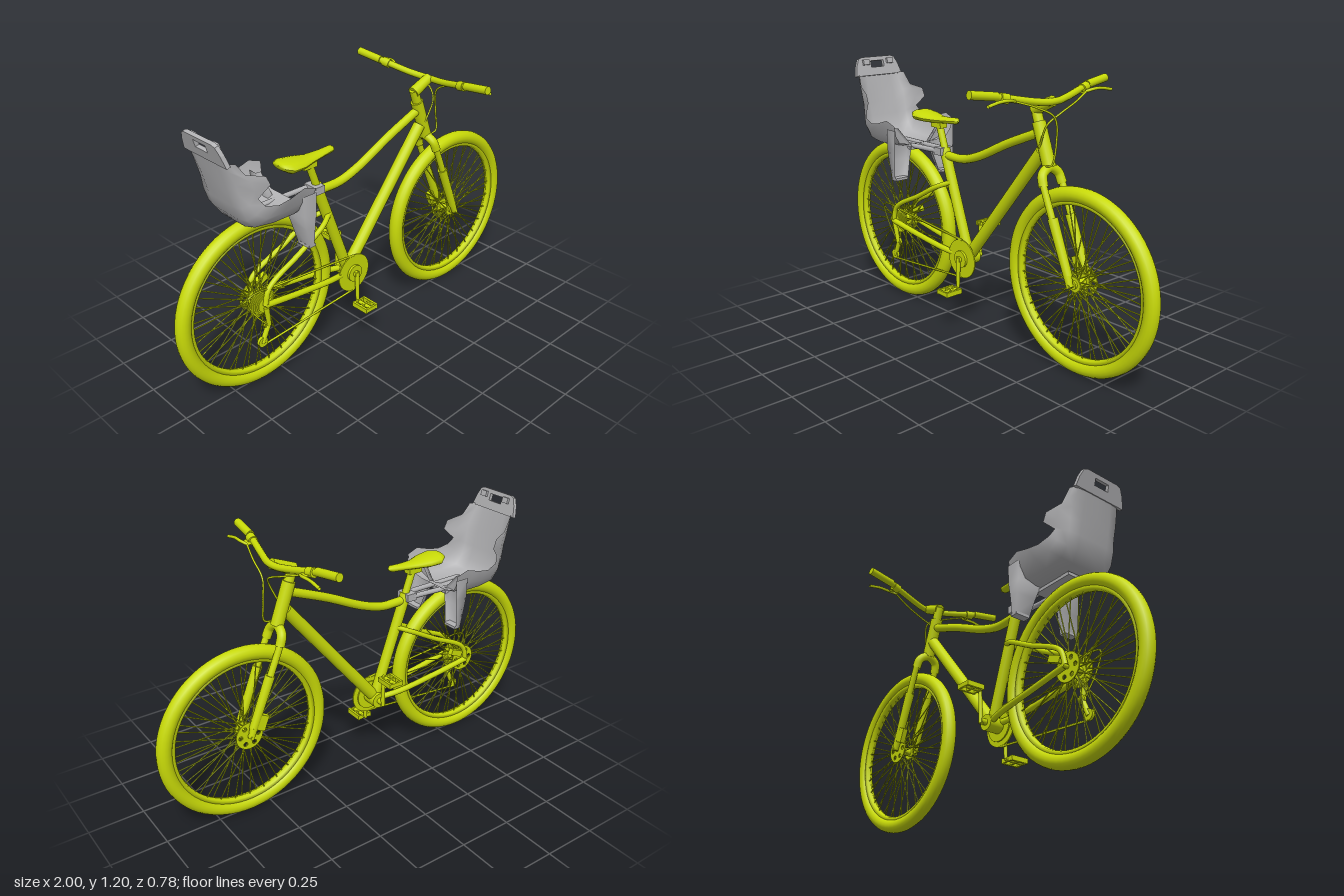
import * as THREE from 'three';

const paint = new THREE.MeshStandardMaterial({ color: 0xc8da08, side: THREE.DoubleSide });
paint.name = 'lime paint';
const plastic = new THREE.MeshStandardMaterial({ color: 0xb2b2b4, side: THREE.DoubleSide });
plastic.name = 'grey plastic';

const V = (p) => new THREE.Vector3(...p);

function add(parent, name, geometry, material = paint) {
  const mesh = new THREE.Mesh(geometry, material);
  mesh.name = name;
  parent.add(mesh);
  return mesh;
}

// straight rod between two points, optionally tapered
function rod(parent, name, a, b, r0, r1 = r0, sides = 16, material = paint) {
  const A = V(a), B = V(b), d = B.clone().sub(A);
  const mesh = add(parent, name, new THREE.CylinderGeometry(r1, r0, d.length(), sides), material);
  mesh.position.copy(A).add(B).multiplyScalar(0.5);
  mesh.quaternion.setFromUnitVectors(new THREE.Vector3(0, 1, 0), d.normalize());
  return mesh;
}

// bent tube through points
function bend(parent, name, points, r, segments = 32, sides = 12, material = paint) {
  const curve = new THREE.CatmullRomCurve3(points.map(V));
  return add(parent, name, new THREE.TubeGeometry(curve, segments, r, sides), material);
}

// disc or drum whose axis runs along z
function drum(parent, name, [x, y, z], r, depth, sides = 32) {
  return rod(parent, name, [x, y, z - depth / 2], [x, y, z + depth / 2], r, r, sides);
}

function block(parent, name, size, position, material = paint, tilt = 0) {
  const mesh = add(parent, name, new THREE.BoxGeometry(...size), material);
  mesh.position.set(...position);
  mesh.rotation.z = tilt;
  return mesh;
}

// skin stretched over rows of points
function loft(parent, name, rows, material = paint) {
  const n = rows[0].length, index = [];
  for (let i = 0; i < rows.length - 1; i++)
    for (let j = 0; j < n - 1; j++) {
      const a = i * n + j, b = a + n;
      index.push(a, b, a + 1, a + 1, b, b + 1);
    }
  const g = new THREE.BufferGeometry();
  g.setAttribute('position', new THREE.Float32BufferAttribute(rows.flat(2), 3));
  g.setIndex(index);
  g.computeVertexNormals();
  return add(parent, name, g, material);
}

function wheel(parent, name, x) {
  const g = new THREE.Group();
  g.name = name;
  g.position.set(x, 0.4, 0);
  parent.add(g);
  add(g, 'tyre', new THREE.TorusGeometry(0.367, 0.033, 16, 72));
  const rim = [[0.322, 0], [0.326, 0.016], [0.345, 0.02], [0.345, -0.02], [0.326, -0.016], [0.322, 0]];
  const rimGeo = new THREE.LatheGeometry(rim.map((p) => new THREE.Vector2(...p)), 72);
  add(g, 'rim', rimGeo.rotateX(Math.PI / 2));
  drum(g, 'hub', [0, 0, 0], 0.018, 0.08);
  drum(g, 'axle', [0, 0, 0], 0.009, 0.14, 12);
  for (const s of [-1, 1]) drum(g, 'hubFlange', [0, 0, s * 0.028], 0.032, 0.005);
  const count = 56;
  for (let i = 0; i < count; i++) {
    const t = (i / count) * Math.PI * 2, side = i % 2 ? 1 : -1;
    const u = t + (i % 4 < 2 ? 0.5 : -0.5);
    rod(g, 'spoke', [0.03 * Math.cos(u), 0.03 * Math.sin(u), side * 0.028],
      [0.327 * Math.cos(t), 0.327 * Math.sin(t), side * 0.004], 0.0028, 0.0028, 5);
  }
  // brake rotor with round openings
  const disc = new THREE.Shape().absarc(0, 0, 0.064, 0, Math.PI * 2);
  for (let i = 0; i < 6; i++) {
    const a = (i * Math.PI) / 3;
    disc.holes.push(new THREE.Path().absarc(0.042 * Math.cos(a), 0.042 * Math.sin(a), 0.01, 0, Math.PI * 2));
  }
  const rotor = new THREE.ExtrudeGeometry(disc, { depth: 0.005, bevelEnabled: false, curveSegments: 24 });
  add(g, 'brakeRotor', rotor).position.z = -0.042;
}

function buildFrame(g) {
  rod(g, 'seatTube', [-0.09, 0.34, 0], [-0.262, 0.82, 0], 0.025);
  rod(g, 'seatPost', [-0.25, 0.79, 0], [-0.302, 0.94, 0], 0.017);
  bend(g, 'topTube', [[-0.25, 0.79, 0], [-0.13, 0.79, 0], [-0.02, 0.822, 0], [0.17, 0.91, 0], [0.355, 0.985, 0]], 0.02);
  rod(g, 'downTube', [-0.08, 0.345, 0], [0.375, 0.91, 0], 0.028);
  rod(g, 'headTube', [0.418, 0.85, 0], [0.352, 1.03, 0], 0.029);
  rod(g, 'steerer', [0.36, 1.01, 0], [0.331, 1.09, 0], 0.022);
  drum(g, 'bottomBracket', [-0.088, 0.33, 0], 0.036, 0.08);
  for (const s of [-1, 1]) {
    bend(g, 'chainStay', [[-0.1, 0.335, s * 0.02], [-0.2, 0.345, s * 0.042], [-0.4, 0.37, s * 0.052], [-0.6, 0.4, s * 0.058]], 0.014);
    bend(g, 'seatStay', [[-0.205, 0.668, s * 0.015], [-0.27, 0.64, s * 0.045], [-0.4, 0.57, s * 0.052], [-0.58, 0.475, s * 0.058], [-0.605, 0.4, s * 0.058]], 0.012);
  }
  // saddle from oval cross-sections: x, half width, top, bottom
  const sections = [
    [-0.455, 0.004, 0.97, 0.966], [-0.45, 0.045, 0.98, 0.95], [-0.42, 0.065, 0.985, 0.93], [-0.36, 0.06, 0.977, 0.93],
    [-0.3, 0.038, 0.968, 0.934], [-0.23, 0.026, 0.969, 0.94], [-0.175, 0.02, 0.974, 0.944], [-0.158, 0.003, 0.962, 0.956]];
  loft(g, 'saddle', sections.map(([x, w, top, low]) => Array.from({ length: 17 }, (_, i) => {
    const a = (i / 16) * Math.PI * 2;
    return [x, (top + low) / 2 + ((top - low) / 2) * Math.sin(a), w * Math.cos(a)];
  })));
  block(g, 'saddleClamp', [0.07, 0.025, 0.04], [-0.302, 0.926, 0]);
}

function buildFork(g) {
  bend(g, 'forkCrown', [[0.44, 0.78, 0.055], [0.424, 0.825, 0.045], [0.416, 0.848, 0], [0.424, 0.825, -0.045], [0.44, 0.78, -0.055]], 0.021);
  for (const s of [-1, 1]) {
    rod(g, 'forkUpperLeg', [0.5, 0.64, s * 0.055], [0.436, 0.793, s * 0.055], 0.015);
    rod(g, 'forkLowerLeg', [0.585, 0.436, s * 0.052], [0.492, 0.66, s * 0.052], 0.019, 0.022);
    rod(g, 'forkDropout', [0.6, 0.395, s * 0.056], [0.584, 0.44, s * 0.054], 0.014, 0.018);
  }
  block(g, 'frontCaliper', [0.04, 0.07, 0.025], [0.545, 0.455, -0.055], paint, 0.4);
  block(g, 'rearCaliper', [0.07, 0.03, 0.025], [-0.545, 0.45, -0.05], paint, 0.4);
}

function buildSteering(g) {
  rod(g, 'stem', [0.328, 1.078, 0], [0.43, 1.124, 0], 0.027, 0.023);
  const half = [[0.366, 1.177, 0.38], [0.376, 1.162, 0.275], [0.392, 1.148, 0.2], [0.412, 1.131, 0.11], [0.428, 1.122, 0.04]];
  const flip = half.map(([x, y, z]) => [x, y, -z]);
  bend(g, 'handlebar', [...half, [0.432, 1.121, 0], ...flip.reverse()], 0.015, 48);
  for (const s of [-1, 1]) {
    rod(g, 'grip', [0.366, 1.177, s * 0.385], [0.378, 1.16, s * 0.255], 0.018);
    rod(g, 'brakeClamp', [0.385, 1.155, s * 0.245], [0.391, 1.148, s * 0.21], 0.021);
    loft(g, 'leverBody', [[[0.385, 1.152, s * 0.25], [0.39, 1.146, s * 0.18]], [[0.436, 1.145, s * 0.24], [0.43, 1.14, s * 0.2]]]);
    bend(g, 'brakeLever', [[0.42, 1.14, s * 0.2], [0.436, 1.15, s * 0.24], [0.432, 1.148, s * 0.29], [0.432, 1.137, s * 0.35]], 0.007, 20, 8);
  }
  // cables
  bend(g, 'frontCable', [[0.425, 1.14, 0.2], [0.45, 1.11, 0.11], [0.462, 1.06, 0.02], [0.468, 0.96, 0.015], [0.46, 0.87, 0.03], [0.43, 0.86, 0.03]], 0.0045, 40, 6);
  bend(g, 'rearCable', [[0.425, 1.14, -0.2], [0.45, 1.11, -0.11], [0.455, 1.075, -0.02], [0.43, 1.03, 0.03], [0.385, 0.93, 0.028]], 0.0045, 40, 6);
}

function buildDrivetrain(g) {
  const cx = -0.088, cy = 0.33;
  drum(g, 'chainring', [cx, cy, 0.044], 0.092, 0.006, 40);
  drum(g, 'innerChainring', [cx, cy, 0.034], 0.07, 0.006, 40);
  drum(g, 'chainringSpider', [cx, cy, 0.052], 0.04, 0.012);
  drum(g, 'crankAxle', [cx, cy, 0], 0.014, 0.14);
  // cranks and open cage pedals
  for (const s of [-1, 1]) {
    const py = cy - s * 0.142;
    rod(g, 'crank', [cx, cy + s * 0.012, s * 0.066], [cx, py, s * 0.07], 0.011, 0.008);
    rod(g, 'pedalSpindle', [cx, py, s * 0.066], [cx, py, s * 0.16], 0.009);
    for (const z of [0.08, 0.12, 0.16]) block(g, 'pedalEnd', [0.06, 0.02, 0.009], [cx, py, s * z]);
    for (const x of [-0.031, 0.031]) block(g, 'pedalBar', [0.011, 0.023, 0.09], [cx + x, py, s * 0.12]);
  }
  for (let i = 0; i < 6; i++) drum(g, 'sprocket', [-0.6, 0.4, 0.03 + i * 0.0045], 0.066 - i * 0.006, 0.003);
  // derailleur and chain
  rod(g, 'derailleurHanger', [-0.6, 0.39, 0.056], [-0.585, 0.29, 0.05], 0.013, 0.01);
  rod(g, 'derailleurCage', [-0.585, 0.29, 0.044], [-0.62, 0.21, 0.042], 0.012);
  drum(g, 'upperPulley', [-0.587, 0.29, 0.042], 0.018, 0.012, 16);
  drum(g, 'lowerPulley', [-0.62, 0.215, 0.042], 0.024, 0.014, 16);
  rod(g, 'upperChain', [-0.6, 0.464, 0.042], [cx, 0.42, 0.044], 0.005, 0.005, 6);
  rod(g, 'lowerChain', [-0.62, 0.194, 0.042], [cx, 0.238, 0.044], 0.005, 0.005, 6);
  bend(g, 'derailleurCable', [[-0.5, 0.44, 0.055], [-0.62, 0.48, 0.058], [-0.69, 0.465, 0.055], [-0.66, 0.38, 0.052], [-0.6, 0.3, 0.05]], 0.004, 24, 6);
}

function buildChildSeat(g) {
  // shell: centre x, y, half width, then wall tip x, y, half width
  const rows = [
    [-0.79, 1.12, 0.105, -0.755, 1.118, 0.135], [-0.782, 1.09, 0.115, -0.715, 1.06, 0.145], [-0.768, 1.03, 0.125, -0.645, 1.045, 0.168],
    [-0.755, 0.98, 0.125, -0.628, 1.005, 0.17], [-0.74, 0.92, 0.125, -0.674, 0.955, 0.15], [-0.722, 0.86, 0.125, -0.655, 0.925, 0.165],
    [-0.69, 0.815, 0.125, -0.6, 0.91, 0.175], [-0.6, 0.802, 0.13, -0.54, 0.92, 0.178],
    [-0.5, 0.803, 0.135, -0.47, 0.941, 0.178], [-0.425, 0.825, 0.14, -0.412, 0.92, 0.175]];
  const shell = rows.map(([x, y, w, tx, ty, tw]) => {
    const mid = [(x + tx) / 2, (y + ty) / 2, (w + tw * 2) / 3];
    const side = [[tx, ty, tw], mid, [x + (tx - x) * 0.12, y + (ty - y) * 0.12, w], [x, y, w * 0.6]];
    return [...side, [x, y, 0], ...side.map(([a, b, c]) => [a, b, -c]).reverse()];
  });
  loft(g, 'seatShell', shell, plastic);
  // headboard with handle hole and strap slots
  const board = new THREE.Shape([[-0.135, 0], [0.135, 0], [0.122, 0.05], [0.105, 0.085], [0.085, 0.092], [-0.085, 0.092], [-0.105, 0.085], [-0.122, 0.05]]
    .map((p) => new THREE.Vector2(...p)));
  for (const [x, w, y0, y1] of [[0, 0.038, 0.04, 0.072]])
    board.holes.push(new THREE.Path([[x - w, y0], [x - w, y1], [x + w, y1], [x + w, y0]].map((p) => new THREE.Vector2(...p))));
  const boardGeo = new THREE.ExtrudeGeometry(board, { depth: 0.018, bevelEnabled: false });
  const head = add(g, 'headboard', boardGeo.rotateX(-0.28).rotateY(Math.PI / 2), plastic);
  head.position.set(-0.792, 1.108, 0);
  for (const s of [-1, 1]) {
    block(g, 'strapBuckle', [0.012, 0.026, 0.034], [-0.785, 1.178, s * 0.07], plastic, 0.28);
    // leg guard trough
    const leg = [[0.9, -0.41, -0.475, 0.175, 0.13], [0.81, -0.412, -0.475, 0.175, 0.055], [0.75, -0.42, -0.465, 0.174, 0.075], [0.658, -0.425, -0.45, 0.17, 0.1]];
    loft(g, 'legGuard', leg.map(([y, front, back, out, inner]) =>
      [[front, y, s * out], [back, y, s * out], [back, y, s * inner], [back + 0.025, y, s * (inner - 0.004)]]), plastic);
    block(g, 'footrest', [0.035, 0.012, 0.07], [-0.435, 0.664, s * 0.135], plastic);
    rod(g, 'carrierRod', [-0.27, 0.808, s * 0.026], [-0.62, 0.803, s * 0.04], 0.012, 0.012, 10, plastic);
  }
  block(g, 'carrierClamp', [0.05, 0.035, 0.075], [-0.27, 0.808, 0], plastic);
  block(g, 'carrierPlate', [0.2, 0.015, 0.12], [-0.55, 0.796, 0], plastic);
}

export function createModel() {
  const model = new THREE.Group();
  model.name = 'bicycle';
  wheel(model, 'rearWheel', -0.6);
  wheel(model, 'frontWheel', 0.6);
  const parts = { frame: buildFrame, fork: buildFork, steering: buildSteering, drivetrain: buildDrivetrain, childSeat: buildChildSeat };
  for (const [name, build] of Object.entries(parts)) {
    const g = new THREE.Group();
    g.name = name;
    build(g);
    model.add(g);
  }
  return model;
}
